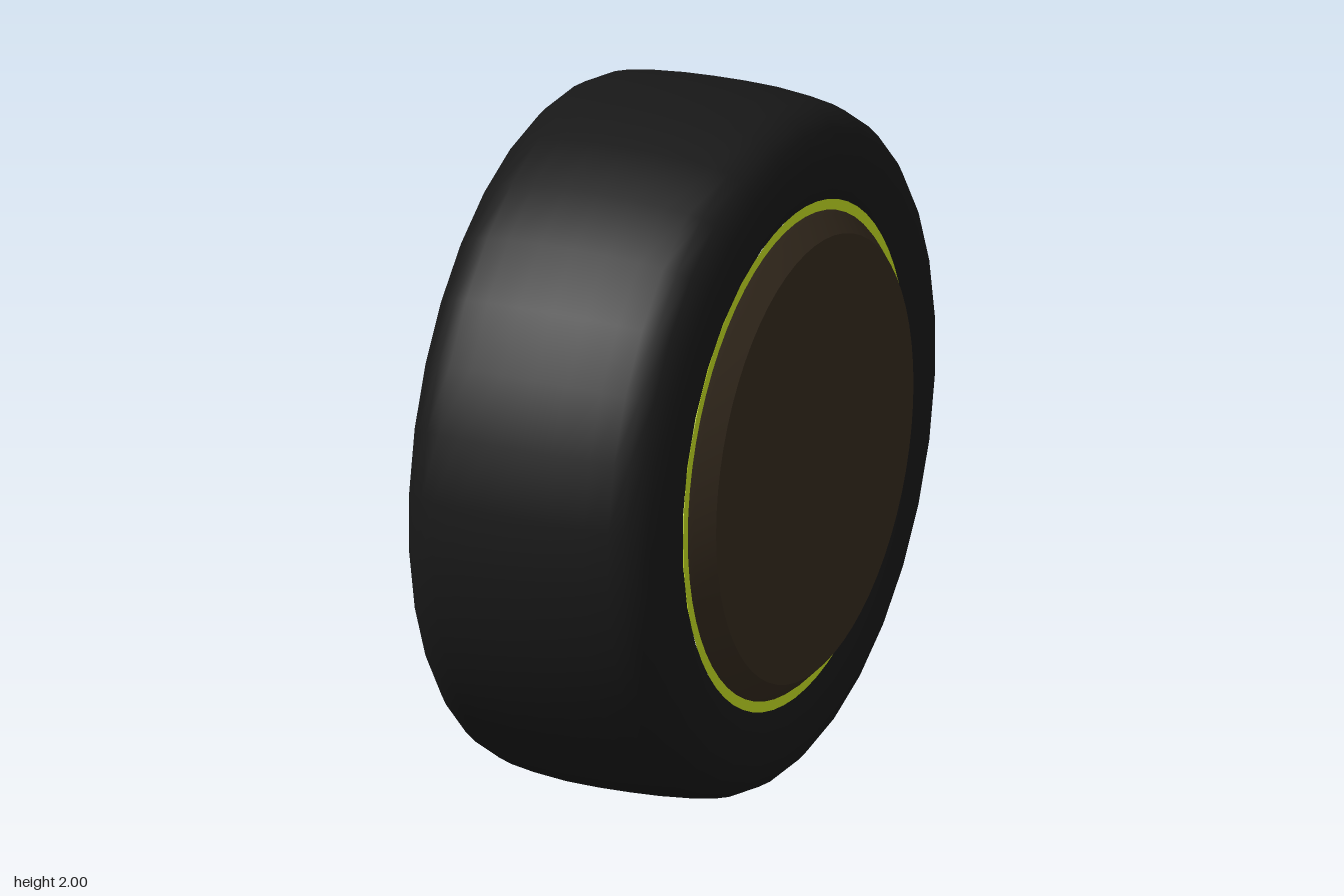
import * as THREE from 'three';

const mat = (color) => new THREE.MeshStandardMaterial({ color });

// Revolves [x, radius] points around the x axis
function revolve(name, points, segments, material, phase = 0) {
  const profile = points.map(([x, r]) => new THREE.Vector2(r, x));
  const geometry = new THREE.LatheGeometry(profile, segments, phase);
  geometry.rotateZ(-Math.PI / 2);
  const mesh = new THREE.Mesh(geometry, material);
  mesh.name = name;
  return mesh;
}

export function createModel() {
  const rubber = mat(0x181818);
  const lime = mat(0xc2da22);
  const brown = mat(0x33291d);

  const wheel = new THREE.Group();
  wheel.name = 'wheel';

  // Tyre: mirrored half profile with rounded shoulder and slight crown
  const mid = -0.027;
  const half = [
    [0.375, 0.715], [0.388, 0.75], [0.392, 0.79], [0.392, 0.84], [0.386, 0.88],
    [0.37, 0.917], [0.345, 0.946], [0.31, 0.967], [0.27, 0.978], [0.2, 0.989], [0.1, 0.998],
  ];
  const tyreProfile = [
    ...half.map(([x, r]) => [mid - x, r]),
    [mid, 1],
    ...half.slice().reverse().map(([x, r]) => [mid + x, r]),
  ].map(([x, r]) => [x, r * 1.004]);
  wheel.add(revolve('tyre', tyreProfile, 32, rubber, Math.PI / 32));

  // Open back of the rim: flared cone easing into a deep barrel
  const rim = new THREE.Group();
  rim.name = 'rim';
  rim.add(revolve('rimBarrel', [
    [0.3, 0.46], [0.28, 0.49], [0.24, 0.505], [-0.15, 0.515], [-0.19, 0.525],
    [-0.225, 0.55], [-0.405, 0.692],
  ], 64, lime));
  rim.add(revolve('rimFloor', [[0.3, 0], [0.3, 0.46]], 64, lime));
  rim.add(revolve('backLip', [[-0.408, 0.69], [-0.408, 0.722]], 64, lime));
  rim.add(revolve('frontLip', [[0.352, 0.722], [0.352, 0.69]], 64, lime));
  wheel.add(rim);

  // Hub stub inside the barrel
  const hub = new THREE.Mesh(new THREE.CylinderGeometry(0.15, 0.15, 0.34, 32), lime);
  hub.rotation.z = Math.PI / 2;
  hub.position.x = 0.14;
  hub.name = 'hub';
  wheel.add(hub);

  // Chamfered front cover
  const cover = new THREE.Group();
  cover.name = 'cover';
  cover.add(revolve('coverBevel', [[0.345, 0.697], [0.365, 0.682], [0.412, 0.635]], 64, brown));
  cover.add(revolve('coverFace', [[0.412, 0.635], [0.412, 0]], 64, brown));
  wheel.add(cover);

  wheel.position.y = 1;
  const model = new THREE.Group();
  model.add(wheel);
  return model;
}
